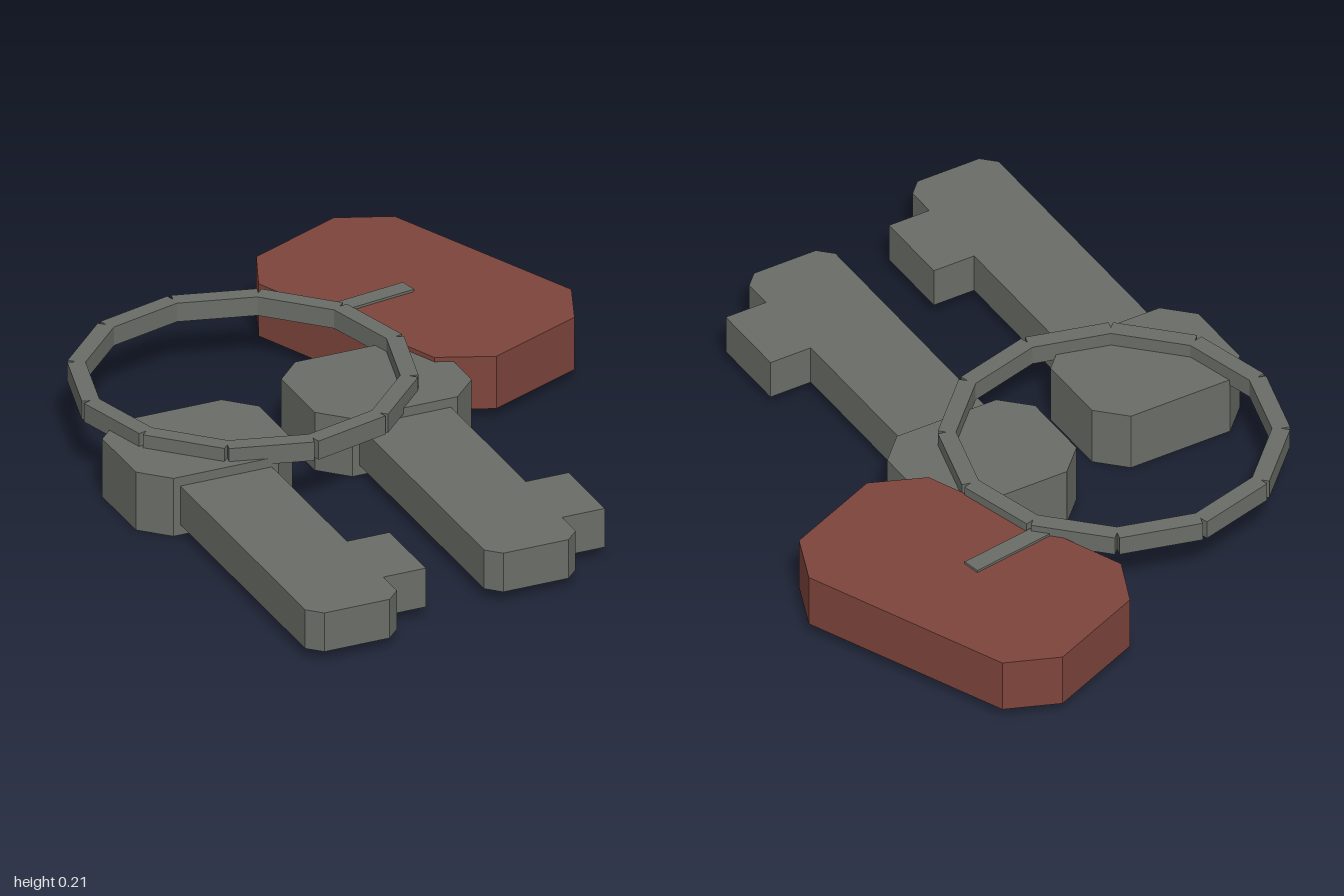
import * as THREE from 'three';

const steel = new THREE.MeshStandardMaterial({ color: 0x6a6d67 });
steel.name = 'steel grey';
const red = new THREE.MeshStandardMaterial({ color: 0x7d443c });
red.name = 'tag red';

// Flat plate: an outline of [x, z] points raised from y0 to y1
function plate(name, points, y0, y1, material) {
  const shape = new THREE.Shape(points.map(([x, z]) => new THREE.Vector2(x, -z)));
  const geometry = new THREE.ExtrudeGeometry(shape, { depth: y1 - y0, bevelEnabled: false });
  geometry.rotateX(-Math.PI / 2).translate(0, y0, 0);
  const mesh = new THREE.Mesh(geometry, material);
  mesh.name = name;
  return mesh;
}

// Key pointing to +z, with its origin at the centre of the bow
function makeKey(name, x, z) {
  const key = new THREE.Group();
  key.name = name;
  const w = 0.228, d = 0.181, c = 0.075;
  key.add(plate('keyBow', [
    [-w + c, -d], [w - c, -d], [w, -d + c], [w, d - c],
    [w - c, d], [-w + c, d], [-w, d - c], [-w, -d + c],
  ], 0, 0.172, steel));
  // Blade with chamfered tip and one tooth
  key.add(plate('keyBlade', [
    [-0.133, 0.1], [0.133, 0.1], [0.133, 0.655], [0.257, 0.655],
    [0.257, 0.884], [0.133, 0.884], [0.133, 0.97], [0.095, 1.008],
    [-0.095, 1.008], [-0.133, 0.97],
  ], 0.03, 0.145, steel));
  key.position.set(x, 0, z);
  return key;
}

export function createModel() {
  const model = new THREE.Group();
  model.name = 'keyRingWithKeys';

  model.add(makeKey('rightKey', -0.512, -0.008));
  model.add(makeKey('leftKey', 0.062, -0.125));

  // Ring of twelve straight links
  const ring = new THREE.Group();
  ring.name = 'ring';
  const link = new THREE.BoxGeometry(0.048, 0.055, 0.229);
  for (let i = 0; i < 12; i++) {
    const a = (i + 0.5) * Math.PI / 6;
    const mesh = new THREE.Mesh(link, steel);
    mesh.name = 'ringLink';
    mesh.position.set(0.427 * Math.cos(a), 0, -0.427 * Math.sin(a));
    mesh.rotation.y = a;
    ring.add(mesh);
  }
  ring.position.set(-0.264, 0.183, -0.26);
  model.add(ring);

  // Fob with cut corners
  model.add(plate('fob', [
    [0.06, -0.88], [0.34, -1.0], [0.49, -0.94], [0.737, -0.36],
    [0.677, -0.21], [0.395, -0.09], [0.243, -0.153], [0.0, -0.735],
  ], 0.03, 0.185, red));

  // Strip joining the fob to the ring
  model.add(plate('fobLink', [
    [0.1, -0.535], [0.345, -0.572], [0.354, -0.522], [0.108, -0.485],
  ], 0.155, 0.192, steel));

  return model;
}
